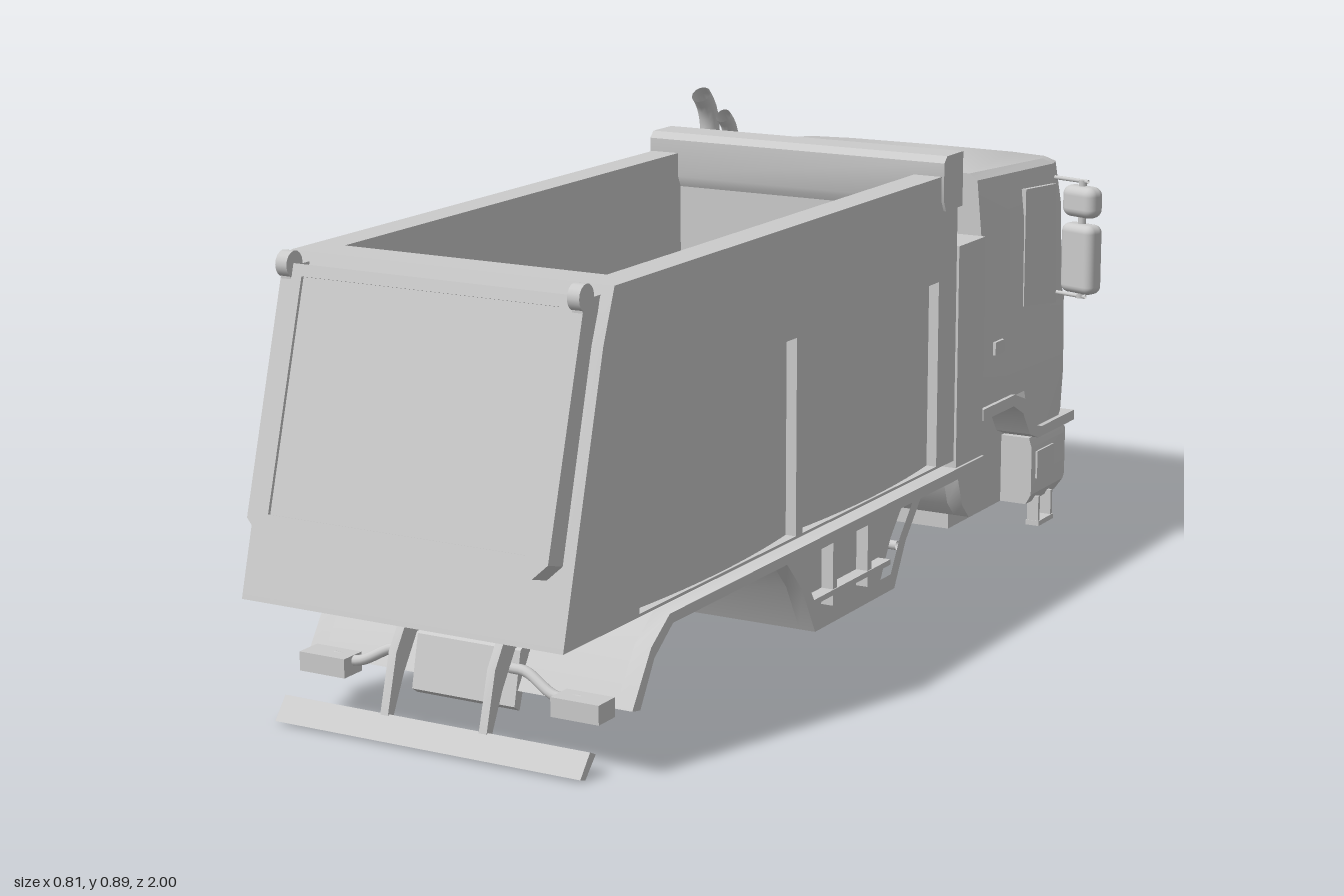
import * as THREE from 'three';
import { toCreasedNormals, mergeVertices } from 'three/addons/utils/BufferGeometryUtils.js';
import { RoundedBoxGeometry } from 'three/addons/geometries/RoundedBoxGeometry.js';

const mat = new THREE.MeshStandardMaterial({ color: 0xcccccc });
const matDouble = new THREE.MeshStandardMaterial({ color: 0xcccccc, side: THREE.DoubleSide });

export function createModel() {
  const root = new THREE.Group();
  const add = (name, geo, parent = root, material = mat) => {
    const m = new THREE.Mesh(geo, material);
    m.name = name;
    parent.add(m);
    return m;
  };
  // box given by its limits
  const box = (name, x0, x1, y0, y1, z0, z1, parent) =>
    add(name, new THREE.BoxGeometry(x1 - x0, y1 - y0, z1 - z0)
      .translate((x0 + x1) / 2, (y0 + y1) / 2, (z0 + z1) / 2), parent);
  const toShape = (pts) => new THREE.Shape(pts.map((p) => new THREE.Vector2(...p)));
  // side profile of [z, y] points, extruded from x0 to x1
  const profile = (name, pts, x0, x1, holes = []) => {
    const s = toShape(pts);
    s.holes = holes.map(toShape);
    const g = new THREE.ExtrudeGeometry(s, { depth: x1 - x0, bevelEnabled: false });
    return add(name, toCreasedNormals(g.rotateY(-Math.PI / 2).translate(x1, 0, 0), 0.6));
  };
  const bothSides = (fn) => [-1, 1].forEach(fn);
  const sideProfile = (name, pts, x0, x1, holes) => bothSides((s) =>
    profile(name, pts, s > 0 ? x0 : -x1, s > 0 ? x1 : -x0, holes));
  const sideBox = (name, x0, x1, ...r) => bothSides((s) =>
    box(name, s > 0 ? x0 : -x1, s > 0 ? x1 : -x0, ...r));
  const rod = (name, pts, r) => add(name, new THREE.TubeGeometry(
    new THREE.CatmullRomCurve3(pts.map((p) => new THREE.Vector3(...p))), 16, r, 12), root, matDouble);
  // skin over stacked rings, capped when closed
  const loft = (name, rings, closed = true) => {
    const n = rings[0].length, idx = [];
    for (let i = 0; i < rings.length - 1; i++) {
      for (let j = 0; j < (closed ? n : n - 1); j++) {
        const a = i * n + j, b = i * n + (j + 1) % n;
        idx.push(a, b, b + n, a, b + n, a + n);
      }
    }
    if (closed) {
      const t = (rings.length - 1) * n;
      for (let j = 1; j < n - 1; j++) idx.push(0, j + 1, j, t, t + j, t + j + 1);
    }
    const g = new THREE.BufferGeometry();
    g.setAttribute('position', new THREE.Float32BufferAttribute(rings.flat(2), 3));
    g.setIndex(idx);
    return add(name, toCreasedNormals(g, 0.5), root, closed ? mat : matDouble);
  };
  // plan outline with a bowed front: height, half width, front z, back z, slope
  const plan = (y, w, f, back, slope = 0) => {
    const half = [[w, back], [w, f + 0.075], [w * 0.95, f + 0.032], [w * 0.65, f + 0.008]];
    return [...half, [0, f], ...half.map(([x, z]) => [-x, z]).reverse()]
      .map(([x, z]) => [x, y + (z - back) * slope, z]);
  };
  // raised strip on the bowed front
  const frontBand = (name, levels) => loft(name, levels.map(([y, w, f]) =>
    Array.from({ length: 11 }, (_, i) => {
      const x = w * (1 - i / 5);
      return [x, y, f + 0.02 * (x / 0.28) ** 2];
    })), false);

  // tipper body: walls with recessed side panels
  const wall = [[-0.41, 0.23], [0.98, 0.23], [0.855, 0.69], [0.82, 0.78], [-0.41, 0.78]];
  const panels = [[-0.335, 0.195], [0.22, 0.75]];
  sideProfile('bodyInnerWall', wall, 0.25, 0.285);
  sideProfile('bodyOuterWall', wall, 0.285, 0.306, panels.map(([a, b]) =>
    [[a, 0.235], [b, 0.235], [b, 0.585], [a, 0.585]]));
  // panels bow slightly inside their frames
  bothSides((s) => panels.forEach(([a, b]) => {
    const g = new THREE.PlaneGeometry(b - a, 0.35, 10, 1);
    const p = g.attributes.position;
    for (let i = 0; i < p.count; i++) p.setZ(i, 0.015 * (1 - (2 * p.getX(i) / (b - a)) ** 2));
    g.computeVertexNormals();
    g.rotateY(s * Math.PI / 2).translate(s * 0.286, 0.41, (a + b) / 2);
    add('bodySidePanel', g);
  }));
  box('bodyFloor', -0.25, 0.25, 0.23, 0.28, -0.41, 0.8);
  box('bodyFrontWall', -0.25, 0.25, 0.23, 0.78, -0.41, -0.35);
  profile('bodyRearWall', [[0.75, 0.23], [0.98, 0.23], [0.855, 0.69], [0.82, 0.78], [0.75, 0.78]], -0.25, 0.25);
  profile('headboard', [[-0.42, 0.715], [-0.35, 0.715], [-0.34, 0.735], [-0.34, 0.805], [-0.352, 0.817], [-0.42, 0.817]], -0.311, 0.311);

  // sloping tailgate with framed panel and top hinges
  const gate = new THREE.Group();
  gate.name = 'tailgate';
  gate.position.set(0, 0.335, 0.952);
  gate.rotation.x = -0.28;
  root.add(gate);
  const gateShape = toShape([[-0.26, 0], [0.26, 0], [0.285, 0.025], [0.285, 0.44], [-0.285, 0.44], [-0.285, 0.025]]);
  gateShape.holes.push(toShape([[-0.245, 0.035], [0.245, 0.035], [0.245, 0.42], [-0.245, 0.42]]));
  add('tailgateFrame', new THREE.ExtrudeGeometry(gateShape, { depth: 0.044, bevelEnabled: false }), gate);
  box('tailgatePanel', -0.25, 0.25, 0.03, 0.425, 0.002, 0.038, gate);
  bothSides((s) => {
    add('tailgateHinge', new THREE.CylinderGeometry(0.022, 0.022, 0.022, 16)
      .rotateZ(Math.PI / 2).translate(s * 0.275, 0.768, 0.87));
    box('hingeArm', s * 0.275 - 0.009, s * 0.275 + 0.009, 0.735, 0.765, 0.82, 0.88);
  });

  // chassis skirt: wheel arches and low centre, full width
  const skirt = [[0.79, 0.085], [0.765, 0.08], [0.72, 0.155], [0.66, 0.198], [0.27, 0.198], [0.215, 0.14],
    [0.165, 0.05], [-0.145, 0.05], [-0.19, 0.13], [-0.25, 0.195], [-0.41, 0.195], [-0.43, 0.14], [-0.46, 0.11],
    [-0.5, 0.135], [-0.525, 0.175], [-0.525, 0.216], [0.67, 0.216], [0.73, 0.175]];
  profile('chassisSkirt', skirt, -0.285, 0.285);
  sideProfile('skirtRim', skirt, 0.285, 0.316,
    [[[0.15, 0.08], [-0.13, 0.08], [-0.165, 0.14], [-0.215, 0.195], [0.23, 0.195], [0.19, 0.14]]]);
  [0.075, -0.06].forEach((z) => sideBox('tankStrap', 0.28, 0.308, 0.075, 0.2, z - 0.008, z + 0.008));
  sideBox('tankStep', 0.28, 0.31, 0.095, 0.105, -0.14, 0.16);
  box('subframe', -0.22, 0.22, 0.2, 0.24, -0.5, 0.85);
  rod('crossTube', [[-0.24, 0.08, -0.31], [0, 0.08, -0.31], [0.24, 0.08, -0.31]], 0.009);
  sideBox('crossTubeBracket', 0.15, 0.165, 0.075, 0.2, -0.318, -0.302);

  // rear: underride bar, arms and lamp brackets
  profile('underrideBar', [[0.915, 0.005], [0.9, 0.0], [0.868, 0.034], [0.885, 0.042]], -0.295, 0.295);
  sideProfile('underrideArm', [[0.7, 0.2], [0.82, 0.2], [0.86, 0.14], [0.888, 0.04], [0.872, 0.035], [0.84, 0.1], [0.8, 0.16], [0.7, 0.18]], 0.088, 0.103);
  profile('rearCrossMember', [[0.7, 0.2], [0.78, 0.15], [0.8, 0.06], [0.785, 0.05], [0.755, 0.14], [0.68, 0.18]], -0.1, 0.1);
  sideBox('rearLamp', 0.2, 0.29, 0.075, 0.108, 0.8, 0.85);
  bothSides((s) => rod('lampBracket', [[s * 0.1, 0.13, 0.81], [s * 0.13, 0.128, 0.81], [s * 0.19, 0.1, 0.82], [s * 0.24, 0.1, 0.82]], 0.009));

  // equipment tower and exhausts behind the cab
  box('equipmentTower', -0.311, 0.311, 0.19, 0.64, -0.525, -0.41);
  rod('largeExhaust', [[-0.26, 0.6, -0.482], [-0.26, 0.75, -0.482], [-0.26, 0.82, -0.48], [-0.26, 0.855, -0.467], [-0.26, 0.878, -0.447]], 0.019);
  rod('smallExhaust', [[-0.213, 0.6, -0.482], [-0.213, 0.75, -0.482], [-0.213, 0.8, -0.48], [-0.213, 0.825, -0.467], [-0.213, 0.84, -0.45]], 0.015);

  // cab shell
  const B = -0.525;
  loft('cabShell', [plan(0.3, 0.305, -0.985, B), plan(0.45, 0.305, -0.98, B), plan(0.47, 0.303, -0.972, B),
    plan(0.64, 0.302, -0.962, B), plan(0.745, 0.292, -0.952, B, 0.05), plan(0.757, 0.275, -0.935, B, 0.055)]);
  loft('cabNose', [plan(0.205, 0.303, -0.978, -0.77), plan(0.3, 0.305, -0.985, -0.73)]);
  box('engineBay', -0.24, 0.24, 0.06, 0.31, -0.8, -0.53);
  // windscreen, grille and side glass
  frontBand('windscreen', [[0.475, 0.265, -0.978], [0.7, 0.255, -0.965]]);
  frontBand('grilleUpperLip', [[0.425, 0.22, -0.984], [0.42, 0.22, -0.996], [0.405, 0.21, -0.99]]);
  frontBand('grilleMiddleLip', [[0.365, 0.18, -0.986], [0.36, 0.18, -0.998], [0.345, 0.175, -0.99]]);
  frontBand('grilleLowerLip', [[0.31, 0.15, -0.987], [0.305, 0.15, -0.998], [0.29, 0.145, -0.988]]);
  sideProfile('doorWindow', [[-0.72, 0.47], [-0.875, 0.45], [-0.865, 0.69], [-0.72, 0.7]], 0.29, 0.305);
  sideBox('doorHandle', 0.3, 0.311, 0.4, 0.425, -0.62, -0.58);
  // front wheel arch lip
  sideProfile('frontArchLip', [[-0.525, 0.305], [-0.67, 0.305], [-0.725, 0.285], [-0.765, 0.225], [-0.8, 0.215], [-0.96, 0.215],
    [-0.96, 0.195], [-0.785, 0.195], [-0.745, 0.21], [-0.71, 0.26], [-0.665, 0.283], [-0.525, 0.283]], 0.24, 0.313);

  // bumper with lamps and lower intake
  loft('bumper', [plan(0.06, 0.295, -0.985, -0.77), plan(0.08, 0.306, -1, -0.77),
    plan(0.175, 0.306, -1, -0.77), plan(0.195, 0.3, -0.985, -0.77)]);
  bothSides((s) => {
    const lamp = add('headlamp', new RoundedBoxGeometry(0.085, 0.045, 0.03, 2, 0.008));
    lamp.position.set(s * 0.23, 0.145, -0.979);
    lamp.rotation.y = -s * 0.22;
    // hanging step
    const x = s * 0.297;
    [-0.865, -0.805].forEach((z) => box('stepHanger', x - 0.012, x + 0.012, 0.012, 0.07, z - 0.004, z + 0.004));
    box('stepTread', x - 0.014, x + 0.014, 0.01, 0.02, -0.87, -0.8);
  });
  sideBox('sideStep', 0.29, 0.31, 0.11, 0.165, -0.87, -0.79);
  box('numberRecess', -0.1, 0.1, 0.105, 0.15, -1.0, -0.98);

  // mirrors on arms
  bothSides((s) => {
    const mirror = new THREE.Group();
    mirror.name = 'mirror';
    mirror.position.set(s * 0.362, 0, -0.862);
    mirror.rotation.y = -s * 0.3;
    root.add(mirror);
    const upper = add('upperMirror', new RoundedBoxGeometry(0.08, 0.062, 0.045, 3, 0.018), mirror);
    upper.position.y = 0.66;
    const lower = add('lowerMirror', new RoundedBoxGeometry(0.08, 0.138, 0.045, 3, 0.016), mirror);
    lower.position.y = 0.547;
    add('mirrorPost', new THREE.CylinderGeometry(0.008, 0.008, 0.235, 10).translate(0, 0.585, 0), mirror);
    [0.7, 0.471].forEach((y) => rod('mirrorArm',
      [[s * 0.29, y, -0.88], [s * 0.33, y, -0.87], [s * 0.375, y, -0.858]], 0.004));
  });
  return root;
}
